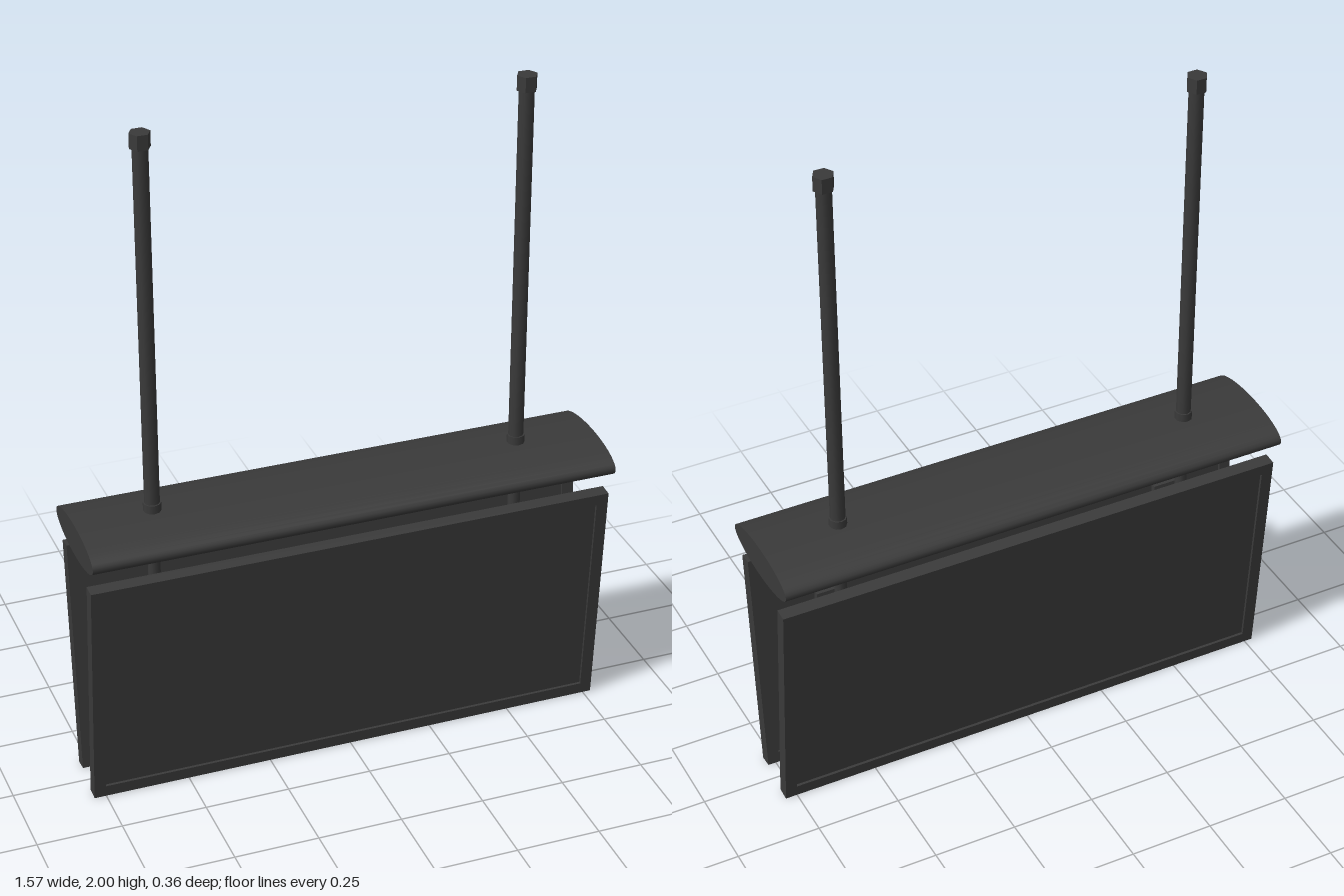
import * as THREE from 'three';

export function createModel() {
  const model = new THREE.Group();
  const dark = new THREE.MeshStandardMaterial({ color: 0x3a3a3a });
  const faceted = dark.clone();
  faceted.flatShading = true;

  const add = (parent, name, geometry, x = 0, y = 0, z = 0, material = dark) => {
    const mesh = new THREE.Mesh(geometry, material);
    mesh.name = name;
    mesh.position.set(x, y, z);
    parent.add(mesh);
    return mesh;
  };
  // Upright cylinder between two heights
  const post = (parent, name, r, y0, y1, x, sides = 10, material = dark) =>
    add(parent, name, new THREE.CylinderGeometry(r, r, y1 - y0, sides), x, (y0 + y1) / 2, 0, material);

  // Lens-shaped canopy running along x
  const canopy = new THREE.CylinderGeometry(1, 1, 1.565, 40);
  canopy.rotateZ(Math.PI / 2);
  canopy.scale(1, 0.05, 0.178);
  add(model, 'canopy', canopy, 0, 0.81, 0);

  // Two hanging rods with collars, caps and screen brackets
  const tilt = 0.083;
  for (const x of [-0.555, 0.545]) {
    const hanger = new THREE.Group();
    hanger.name = 'hanger';
    model.add(hanger);
    post(hanger, 'rod', 0.022, 0.8, 1.97, x);
    post(hanger, 'cap', 0.03, 1.956, 2, x, 6, faceted).rotation.y = Math.PI / 6;
    post(hanger, 'collar', 0.026, 0.73, 0.885, x);
    post(hanger, 'lowerRod', 0.018, 0.44, 0.75, x);
    add(hanger, 'joint', new THREE.CylinderGeometry(0.048, 0.048, 0.09, 12), x, 0.435, 0)
      .rotation.z = Math.PI / 2;
    add(hanger, 'bracketArm', new THREE.CylinderGeometry(0.022, 0.022, 0.16, 10), x, 0.435, 0)
      .rotation.x = Math.PI / 2;
    for (const s of [-1, 1]) {
      add(hanger, 'bracketPlate', new THREE.BoxGeometry(0.08, 0.25, 0.02), x, 0.435, s * 0.081)
        .rotation.x = s * tilt;
    }
  }

  // Pipe joining the two brackets
  add(model, 'crossPipe', new THREE.CylinderGeometry(0.026, 0.026, 1.24, 6), -0.005, 0.435, 0, faceted)
    .rotation.z = Math.PI / 2;

  // Frame outline with a rectangular opening
  const rect = (path, w, h) => path.moveTo(-w / 2, -h / 2).lineTo(w / 2, -h / 2)
    .lineTo(w / 2, h / 2).lineTo(-w / 2, h / 2).closePath();
  const W = 1.56, H = 0.724, T = 0.04;
  const outline = rect(new THREE.Shape(), W, H);
  outline.holes.push(rect(new THREE.Path(), W - 0.07, H - 0.07));
  const frame = new THREE.ExtrudeGeometry(outline, { depth: T, bevelEnabled: false });
  frame.translate(0, 0, -T / 2);

  // Back-to-back screens leaning outward at the top
  for (const s of [1, -1]) {
    const screen = new THREE.Group();
    screen.name = s > 0 ? 'frontScreen' : 'backScreen';
    screen.position.set(-0.005 * s, 0.3625, s * 0.105);
    screen.rotation.set(s * tilt, s > 0 ? 0 : Math.PI, 0);
    model.add(screen);
    add(screen, 'frame', frame);
    add(screen, 'panel', new THREE.BoxGeometry(W - 0.066, H - 0.066, 0.024));
  }
  return model;
}
